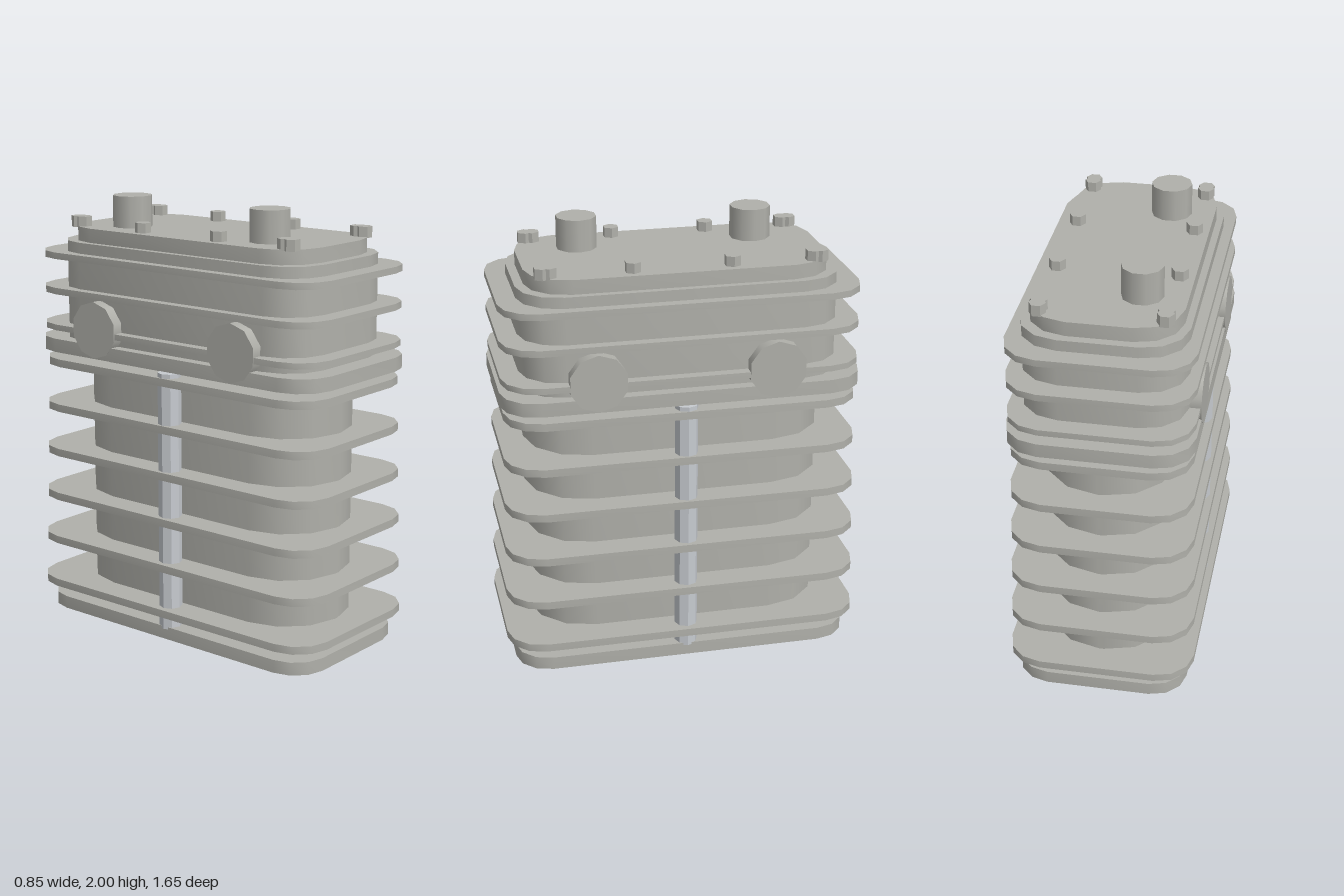
import * as THREE from 'three';
import { toCreasedNormals } from 'three/addons/utils/BufferGeometryUtils.js';

const castMetal = new THREE.MeshStandardMaterial({ color: 0xb0b0aa });
castMetal.name = 'cast metal grey';
const steel = new THREE.MeshStandardMaterial({ color: 0xc6cacf });
steel.name = 'light steel';

// Rounded rectangular slab: half width a (x), half depth b (z), corner radius r, three facets per corner
function slab(name, a, b, r, y0, y1) {
  const shape = new THREE.Shape();
  const corners = [[a - r, b - r], [r - a, b - r], [r - a, r - b], [a - r, r - b]];
  corners.forEach(([cx, cy], q) => {
    for (let i = 0; i <= 3; i++) {
      const t = (q + i / 3) * Math.PI / 2;
      const x = cx + r * Math.cos(t), y = cy + r * Math.sin(t);
      if (q + i === 0) shape.moveTo(x, y); else shape.lineTo(x, y);
    }
  });
  const geo = new THREE.ExtrudeGeometry(shape, { depth: y1 - y0, bevelEnabled: false });
  geo.rotateX(-Math.PI / 2);
  geo.translate(0, y0, 0);
  const mesh = new THREE.Mesh(toCreasedNormals(geo, 0.6), castMetal);
  mesh.name = name;
  return mesh;
}

// Upright prism or cylinder with a corner on the x axis
function post(name, material, r, sides, x, z, y0, y1, flat) {
  let geo = new THREE.CylinderGeometry(r, r, y1 - y0, sides);
  geo.rotateY(Math.PI / 2);
  if (flat) geo = toCreasedNormals(geo, 0.6);
  const mesh = new THREE.Mesh(geo, material);
  mesh.position.set(x, (y0 + y1) / 2, z);
  mesh.name = name;
  return mesh;
}

export function createModel() {
  const model = new THREE.Group();
  model.name = 'finnedCompressorBlock';

  // Lower block: foot, barrel and tapering stack of fins
  const block = new THREE.Group();
  block.name = 'lowerBlock';
  block.add(slab('foot', 0.39, 0.787, 0.155, 0, 0.06));
  block.add(slab('barrel', 0.29, 0.69, 0.28, 0.05, 1.255));
  for (let i = 0; i < 6; i++) {
    const y = 0.135 + i * 0.2165;
    block.add(slab('barrelFin', 0.425 - i * 0.005, 0.826 - i * 0.005, 0.165, y - 0.018, y + 0.018));
  }
  for (const s of [-1, 1]) {
    block.add(post('sideStud', steel, 0.053, 8, s * 0.345, 0, 0.05, 1.255, true));
  }
  model.add(block);

  // Cylinder head, separated from the block by a narrow gap
  const head = new THREE.Group();
  head.name = 'cylinderHead';
  head.add(slab('headFlange', 0.41, 0.815, 0.165, 1.272, 1.335));
  head.add(slab('headBody', 0.36, 0.72, 0.19, 1.33, 1.79));
  for (const [y0, y1] of [[1.375, 1.402], [1.545, 1.575], [1.71, 1.74]]) {
    head.add(slab('headFin', 0.406, 0.808, 0.165, y0, y1));
  }
  head.add(slab('headCap', 0.33, 0.68, 0.19, 1.785, 1.855));
  model.add(head);

  for (const sz of [-1, 1]) {
    // Pipes on top
    model.add(post('topPipe', castMetal, 0.092, 10, -0.135, sz * 0.4, 1.85, 2, false));
    for (const sx of [-1, 1]) {
      // Round port covers on the flanks
      const port = new THREE.Mesh(new THREE.CylinderGeometry(0.132, 0.132, 0.1, 10), castMetal);
      port.geometry.rotateY(Math.PI / 2);
      port.geometry.rotateZ(Math.PI / 2);
      port.position.set(sx * 0.361, 1.405, sz * 0.4);
      port.name = 'sidePort';
      model.add(port);
      // Hexagonal head bolts, paired at the ends
      for (const z of [0.22, 0.585, 0.615]) {
        model.add(post('headBolt', castMetal, 0.037, 6, sx * 0.266, sz * z, 1.85, 1.9, true));
      }
    }
  }
  return model;
}
